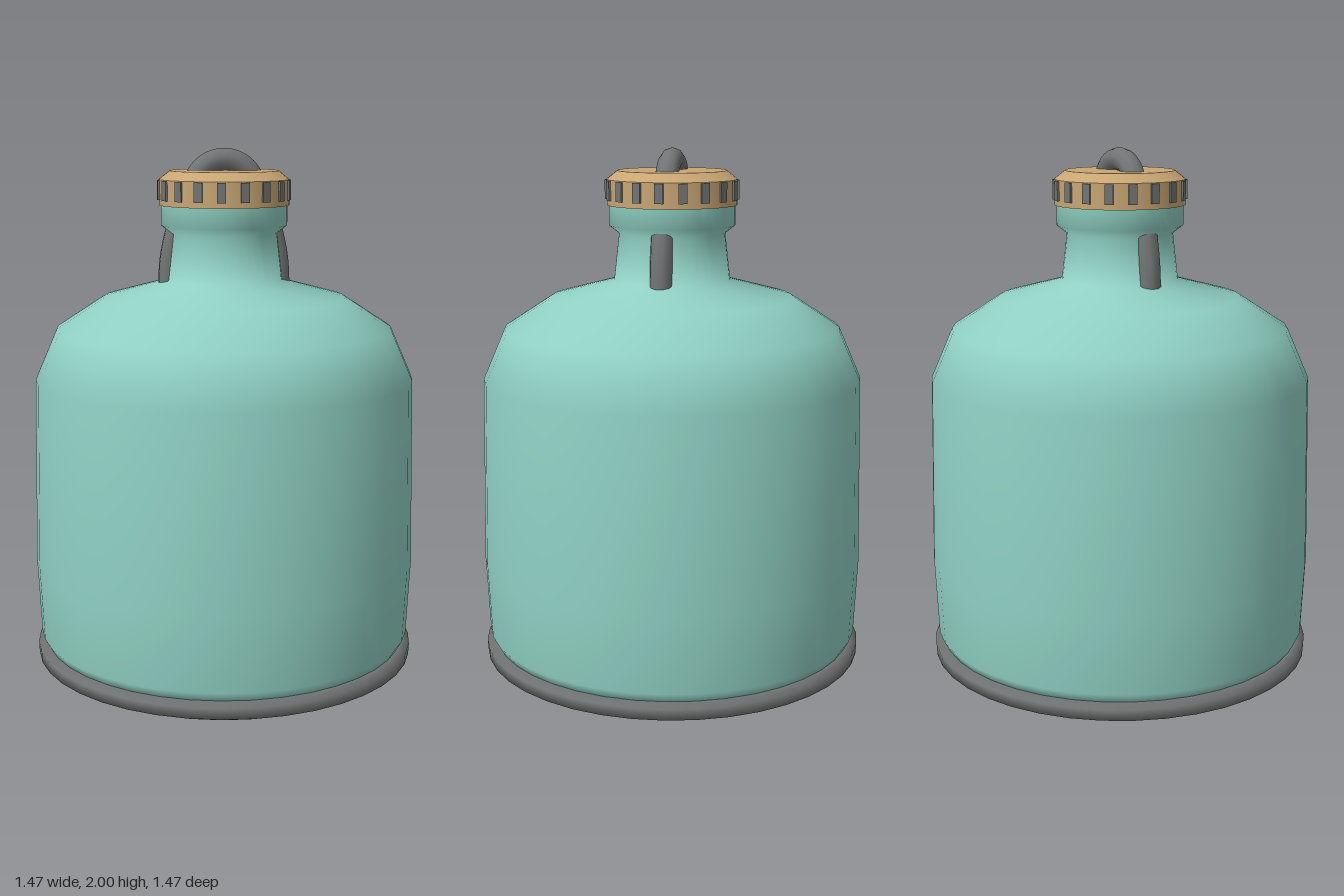
import * as THREE from 'three';
import { toCreasedNormals } from 'three/addons/utils/BufferGeometryUtils.js';

const material = (name, color) => {
  const m = new THREE.MeshStandardMaterial({ color });
  m.name = name;
  return m;
};

export function createModel() {
  const group = new THREE.Group();
  const teal = material('teal enamel', 0x8fcfc2);
  const tan = material('tan cap', 0xc8a673);
  const gray = material('dark gray metal', 0x727575);

  const add = (name, geometry, mat, parent = group) => {
    const mesh = new THREE.Mesh(geometry, mat);
    mesh.name = name;
    parent.add(mesh);
    return mesh;
  };
  const lathe = (points) =>
    new THREE.LatheGeometry(points.map(([r, y]) => new THREE.Vector2(r, y)), 40);

  // Body, shoulder and flared neck in one smooth profile
  add('body', lathe([
    [0.58, 0.06], [0.70, 0.10], [0.722, 0.14], [0.735, 0.43], [0.72, 1.14],
    [0.637, 1.33], [0.46, 1.445], [0.22, 1.51], [0.2, 1.685],
    [0.238, 1.715], [0.238, 1.8],
  ]), teal);

  // Underside disc
  const underside = add('underside', new THREE.CircleGeometry(0.6, 40), teal);
  underside.rotation.x = Math.PI / 2;
  underside.position.y = 0.003;

  // Bumper ring around the foot
  add('baseRing', lathe([
    [0.58, 0.0], [0.655, 0.01], [0.735, 0.048], [0.737, 0.09],
    [0.705, 0.105], [0.64, 0.09],
  ]), gray);

  // Screw cap with a bevelled rim
  add('cap', toCreasedNormals(lathe([
    [0, 1.79], [0.245, 1.79], [0.245, 1.885], [0.205, 1.917], [0, 1.917],
  ]), 0.5), tan);

  // Grip ribs around the cap
  const ribs = new THREE.Group();
  ribs.name = 'capRibs';
  group.add(ribs);
  const ribGeometry = new THREE.BoxGeometry(0.025, 0.072, 0.032);
  for (let i = 0; i < 18; i++) {
    const a = (i / 18) * Math.PI * 2;
    const rib = add('capRib', ribGeometry, gray, ribs);
    rib.position.set(Math.cos(a) * 0.239, 1.846, Math.sin(a) * 0.239);
    rib.rotation.y = -a;
  }

  // Arched carrying loop on the cap
  const loop = add('topHandle', new THREE.TorusGeometry(0.117, 0.043, 10, 24, Math.PI), gray);
  loop.position.y = 1.84;

  // Curved lugs from the neck down to the shoulder
  for (const side of [1, -1]) {
    const path = new THREE.CatmullRomCurve3(
      [[0.165, 1.74], [0.187, 1.67], [0.204, 1.58], [0.211, 1.45]]
        .map(([x, y]) => new THREE.Vector3(side * x, y, 0)));
    add(side > 0 ? 'leftNeckLug' : 'rightNeckLug',
      new THREE.TubeGeometry(path, 10, 0.043, 10), gray);
  }

  return group;
}
